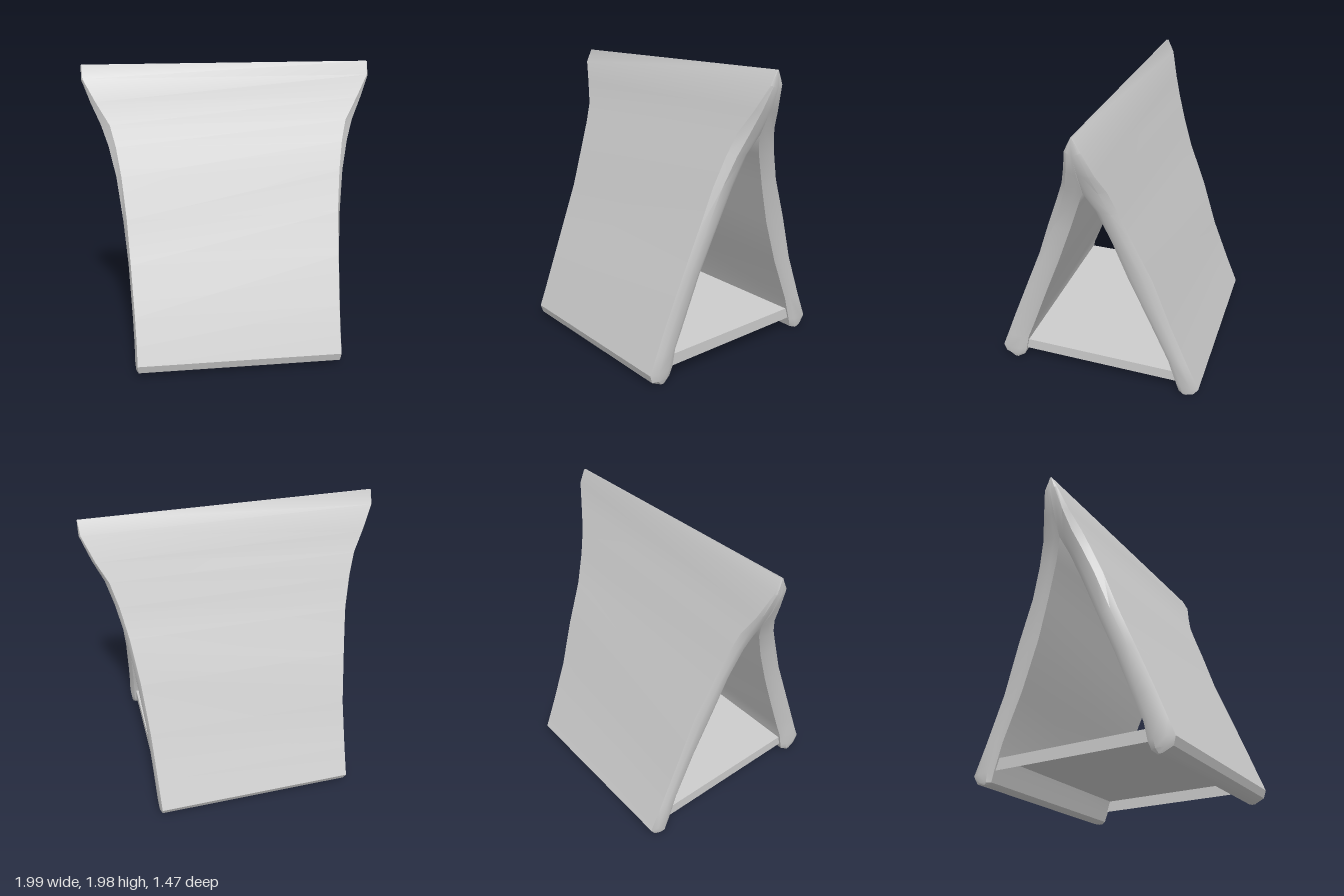
import * as THREE from 'three';
import { toCreasedNormals } from 'three/addons/utils/BufferGeometryUtils.js';

// Rows down a leaning panel: outer z, outer y, inner z, inner y, half width, outer bevel, inner bevel
const FRONT_ROWS = [
  [0.005, 1.99, 0, 1.98, 0.995, 0.005, 0],
  [0.05, 1.9, 0, 1.88, 0.995, 0.01, 0],
  [0.095, 1.75, 0, 1.73, 0.94, 0.035, 0],
  [0.15, 1.6, 0, 1.58, 0.875, 0.06, 0.01],
  [0.205, 1.46, 0.05, 1.46, 0.83, 0.05, 0.02],
  [0.28, 1.27, 0.13, 1.25, 0.785, 0.035, 0.02],
  [0.375, 1.0, 0.24, 0.96, 0.75, 0.025, 0.02],
  [0.49, 0.72, 0.345, 0.7, 0.725, 0.015, 0.02],
  [0.62, 0.4, 0.47, 0.37, 0.71, 0.015, 0.02],
  [0.69, 0.22, 0.53, 0.22, 0.705, 0.015, 0.02],
  [0.737, 0.1, 0.555, 0.1, 0.705, 0.015, 0.02],
  [0.72, 0.045, 0.575, 0.045, 0.7, 0.015, 0.02],
  [0.665, 0.012, 0.615, 0.012, 0.69, 0.02, 0.02],
];
const BACK_ROWS = [
  [0.005, 1.99, 0, 1.98, 0.995, 0.005, 0],
  [0.05, 1.9, 0, 1.88, 0.995, 0.01, 0],
  [0.1, 1.73, 0, 1.73, 0.935, 0.02, 0],
  [0.15, 1.6, 0, 1.58, 0.87, 0.025, 0.01],
  [0.205, 1.44, 0.06, 1.44, 0.825, 0.025, 0.02],
  [0.28, 1.23, 0.145, 1.21, 0.78, 0.02, 0.02],
  [0.405, 0.94, 0.24, 0.93, 0.745, 0.02, 0.02],
  [0.52, 0.6, 0.375, 0.6, 0.715, 0.015, 0.02],
  [0.65, 0.28, 0.515, 0.28, 0.705, 0.015, 0.02],
  [0.736, 0.08, 0.575, 0.09, 0.7, 0.015, 0.02],
  [0.705, 0.025, 0.595, 0.025, 0.695, 0.015, 0.02],
  [0.665, 0.012, 0.62, 0.012, 0.69, 0.02, 0.02],
];

// Loft an eight-sided bevelled ring through the rows
function panelGeometry(rows) {
  const pos = [], index = [], N = 8;
  for (const [oz, oy, iz, iy, w, bo, bi] of rows) {
    const ring = [[w - bo, 0], [w, 0.3], [w, 0.75], [w - bi, 1]];
    const mirrored = ring.map(([x, t]) => [-x, t]).reverse();
    for (const [x, t] of [...ring, ...mirrored]) {
      pos.push(x, oy + (iy - oy) * t, oz + (iz - oz) * t);
    }
  }
  for (let r = 0; r < rows.length - 1; r++) {
    for (let k = 0; k < N; k++) {
      const a = r * N + k, b = r * N + (k + 1) % N;
      index.push(a, b, a + N, b, b + N, a + N);
    }
  }
  // Close the top and the foot
  const last = (rows.length - 1) * N;
  for (let k = 1; k < N - 1; k++) {
    index.push(0, k + 1, k);
    index.push(last, last + k, last + k + 1);
  }
  const g = new THREE.BufferGeometry();
  g.setAttribute('position', new THREE.Float32BufferAttribute(pos, 3));
  g.setIndex(index);
  return g;
}

export function createModel() {
  const model = new THREE.Group();
  model.name = 'leaningShelter';
  const grey = new THREE.MeshStandardMaterial({ color: 0xcccccc, side: THREE.DoubleSide });
  grey.name = 'plainGrey';

  const add = (name, geometry, x = 0, y = 0, z = 0) => {
    const mesh = new THREE.Mesh(geometry, grey);
    mesh.name = name;
    mesh.position.set(x, y, z);
    model.add(mesh);
    return mesh;
  };

  // Two thick sloping panels that meet in a flared ridge
  add('frontPanel', toCreasedNormals(panelGeometry(FRONT_ROWS), 0.6));
  const back = panelGeometry(BACK_ROWS);
  // Mirror in z and turn the faces back outward
  back.scale(1, 1, -1);
  const idx = back.index.array;
  for (let i = 0; i < idx.length; i += 3) [idx[i], idx[i + 1]] = [idx[i + 1], idx[i]];
  add('backPanel', toCreasedNormals(back, 0.6));

  // Floor sheet with a shallow skirt at each open end, hollow underneath
  add('floor', new THREE.PlaneGeometry(1.34, 1.18).rotateX(-Math.PI / 2), 0, 0.18, 0);
  for (const s of [1, -1]) {
    add(s > 0 ? 'leftFloorSkirt' : 'rightFloorSkirt',
      new THREE.PlaneGeometry(1.18, 0.08).rotateY(s * Math.PI / 2), s * 0.67, 0.14, 0);
  }
  return model;
}
